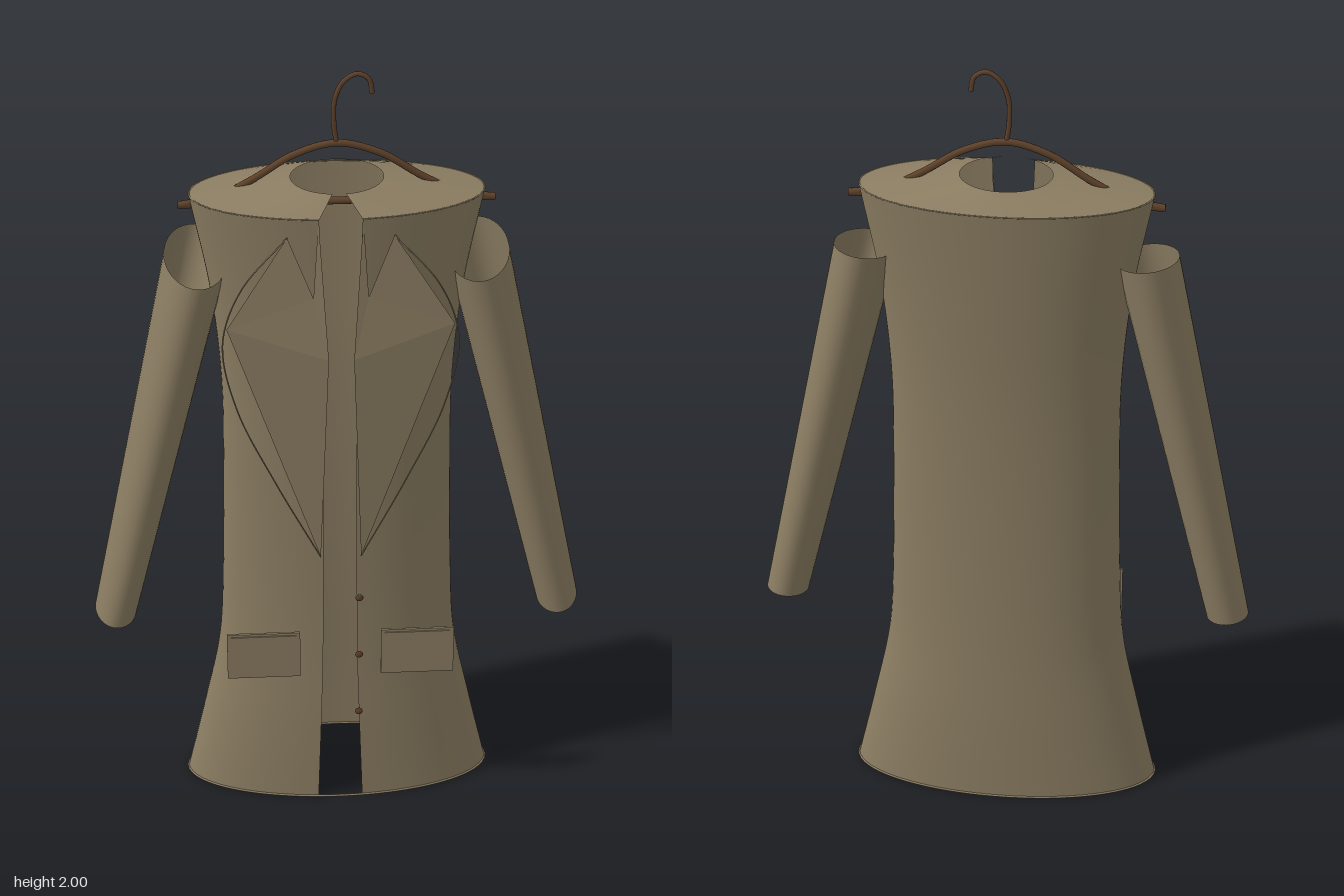
import * as THREE from 'three';

const mat = (name, color, side = THREE.FrontSide) => {
  const m = new THREE.MeshStandardMaterial({ color, side });
  m.name = name;
  return m;
};

// Skin a list of rings (arrays of Vector3) with smooth normals
function loft(rings) {
  const n = rings[0].length, pos = [], idx = [];
  rings.forEach(r => r.forEach(p => pos.push(p.x, p.y, p.z)));
  for (let i = 0; i < rings.length - 1; i++) {
    for (let j = 0; j < n - 1; j++) {
      const a = i * n + j, b = a + 1, c = a + n, d = c + 1;
      idx.push(a, b, c, b, d, c);
    }
  }
  const g = new THREE.BufferGeometry();
  g.setAttribute('position', new THREE.Float32BufferAttribute(pos, 3));
  g.setIndex(idx);
  g.computeVertexNormals();
  return g;
}

const CZ = -0.01, GAP = 0.145;

// Elliptical ring, open at the front by a constant angle (gap 0 closes it)
function ring(y, rx, rz, gap = GAP, n = 64) {
  return Array.from({ length: n + 1 }, (_, i) => {
    const t = gap + (2 * Math.PI - 2 * gap) * i / n;
    return new THREE.Vector3(rx * Math.sin(t), y, CZ + rz * Math.cos(t));
  });
}

function tube(points, radius, segments = 48, closed = false) {
  const curve = new THREE.CatmullRomCurve3(points, closed);
  return new THREE.TubeGeometry(curve, segments, radius, 8, closed);
}

export function createModel() {
  const root = new THREE.Group();
  root.name = 'coatOnHanger';
  const cloth = mat('khaki cloth', 0x8b7d62, THREE.DoubleSide);
  const wood = mat('brown wood', 0x5e412a);
  const V = (x, y, z) => new THREE.Vector3(x, y, z);
  const add = (name, geo, m, parent = root) => {
    const mesh = new THREE.Mesh(geo, m);
    mesh.name = name;
    parent.add(mesh);
    return mesh;
  };

  // Body: half width, height, half depth
  const profile = new THREE.CatmullRomCurve3([
    V(0.395, 0, 0.155), V(0.345, 0.22, 0.148), V(0.303, 0.43, 0.138),
    V(0.29, 0.65, 0.131), V(0.283, 0.95, 0.127), V(0.283, 1.2, 0.13),
    V(0.305, 1.45, 0.142), V(0.35, 1.7, 0.156),
  ]);
  add('coatBody', loft(profile.getPoints(42).map(p => ring(p.y, p.x, p.z))), cloth);

  // Shoulder yoke sloping up to the neck opening
  add('shoulderYoke', loft([ring(1.7, 0.35, 0.156), ring(1.735, 0.11, 0.093)]), cloth);

  // Thin seams round the hem and the shoulder edge
  add('hemSeam', tube(ring(0.003, 0.395, 0.155, 0).slice(0, -1), 0.003, 96, true), cloth);
  add('shoulderSeam', tube(ring(1.7, 0.349, 0.155), 0.002, 96), cloth);

  for (const s of [1, -1]) {
    const side = s > 0 ? 'left' : 'right';

    // Sleeve: tapered oval tube with slanted open ends
    const sleeve = [];
    for (let i = 0; i <= 8; i++) {
      const k = i / 8, L = THREE.MathUtils.lerp;
      const cx = L(0.567, 0.337, k), cy = L(0.525, 1.533, k);
      const rx = L(0.053, 0.075, k), rz = L(0.075, 0.12, k);
      sleeve.push(Array.from({ length: 37 }, (_, j) => {
        const t = Math.PI * (1.5 + j / 18) * s;
        const dx = rx * Math.sin(t) * s, dz = rz * Math.cos(t);
        return V(s * (cx + dx), cy - 0.2 * dz + 0.12 * dx, CZ + dz);
      }));
    }
    add(side + 'Sleeve', loft(sleeve), cloth);

    // Lapel: folded plate, highest along its inner edge
    const top = V(s * 0.125, 1.655, 0.142), inner = V(s * 0.03, 1.34, 0.172);
    const neck = V(s * 0.065, 1.5, 0.155), tip = V(s * 0.05, 0.77, 0.157);
    const outer = V(s * 0.27, 1.42, 0.15);
    const tris = [top, neck, outer, neck, inner, outer, inner, tip, outer];
    const lapel = new THREE.BufferGeometry().setFromPoints(
      s > 0 ? tris : tris.map((_, i) => tris[i - i % 3 + 2 - i % 3]));
    lapel.computeVertexNormals();
    add(side + 'Lapel', lapel, cloth);

    // Fine piping bowing out beside the lapel
    add(side + 'LapelPiping', tube([
      top, V(s * 0.235, 1.52, 0.146), V(s * 0.28, 1.38, 0.147),
      V(s * 0.25, 1.2, 0.148), V(s * 0.16, 0.99, 0.152), tip,
    ], 0.0018), cloth);

    // Collar fold from the neck down to the lapel break
    const collar = new THREE.BufferGeometry().setFromPoints(
      s > 0 ? [V(0.052, 1.7, 0.142), inner, neck]
        : [V(-0.052, 1.7, 0.142), neck, inner]);
    collar.computeVertexNormals();
    add(side + 'CollarFold', collar, cloth);

    // Pocket flap with a narrow welt
    const flap = add(side + 'PocketFlap', new THREE.BoxGeometry(0.185, 0.135, 0.006), cloth);
    flap.position.set(s * 0.195, 0.467, 0.145);
    const welt = add(side + 'PocketWelt', new THREE.BoxGeometry(0.165, 0.009, 0.006), cloth);
    welt.position.set(s * 0.195, 0.523, 0.148);
  }

  // Buttons
  const dot = new THREE.SphereGeometry(0.01, 16, 10).scale(1, 1, 0.4);
  [0.645, 0.47, 0.29].forEach((y, i) => {
    add('button' + (i + 1), dot, wood).position.set(0.046, y, 0.16);
  });

  // Hanger: arched arms, crossbar and hook
  const hanger = new THREE.Group();
  hanger.name = 'hanger';
  hanger.position.z = CZ - 0.003;
  root.add(hanger);
  add('hangerArms', tube([
    V(-0.37, 1.67, 0), V(-0.29, 1.685, 0), V(-0.2, 1.73, 0), V(-0.1, 1.793, 0), V(0, 1.82, 0),
    V(0.1, 1.793, 0), V(0.2, 1.73, 0), V(0.29, 1.685, 0), V(0.37, 1.67, 0),
  ], 0.009, 64), wood, hanger);
  const bar = add('hangerBar', new THREE.CylinderGeometry(0.009, 0.009, 0.75, 12), wood, hanger);
  bar.rotation.z = Math.PI / 2;
  bar.position.y = 1.67;
  add('hangerHook', tube([
    V(0, 1.815, 0), V(-0.007, 1.87, 0), V(-0.005, 1.93, 0), V(0.015, 1.975, 0),
    V(0.047, 1.994, 0), V(0.074, 1.98, 0), V(0.082, 1.945, 0),
  ], 0.006), wood, hanger);

  return root;
}
